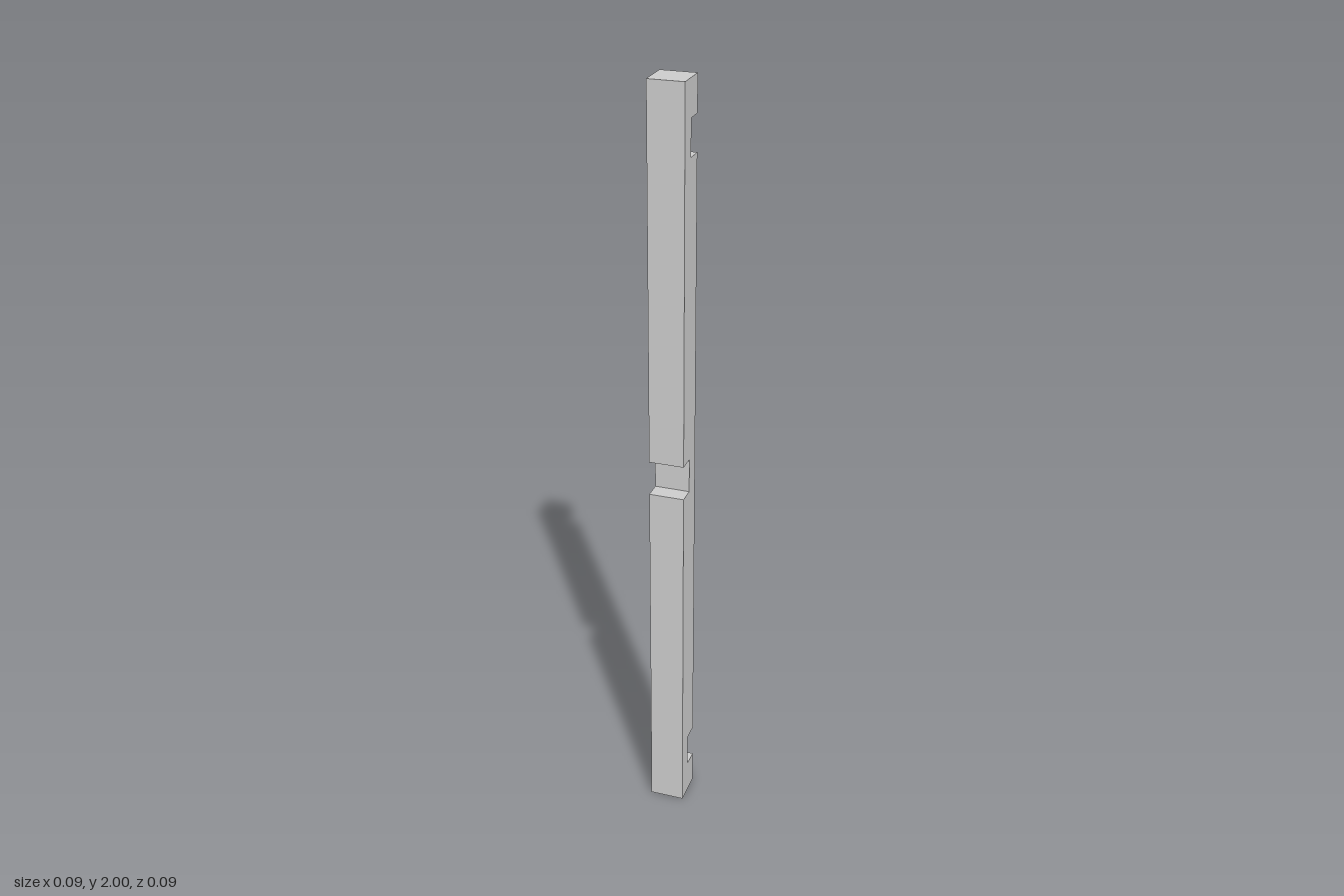
import * as THREE from 'three';

const UNIT = 1 / 11;      // post thickness and notch height
const HALF = UNIT / 2;    // notches cut half-way through

export function createModel() {
  const group = new THREE.Group();
  group.name = 'notchedPost';

  // Side profile (z, y): one notch in the front, two in the back
  const profile = [[-HALF, 0], [HALF, 0]];
  const addNotch = (side, from, to) =>
    profile.push([side, from], [0, from], [0, to], [side, to]);

  addNotch(HALF, 1 - HALF, 1 + HALF);
  profile.push([HALF, 2], [-HALF, 2]);
  addNotch(-HALF, 2 - UNIT, 2 - 2 * UNIT);
  addNotch(-HALF, 2 * UNIT, UNIT);

  const shape = new THREE.Shape(profile.map(([z, y]) => new THREE.Vector2(z, y)));
  const geometry = new THREE.ExtrudeGeometry(shape, { depth: UNIT, bevelEnabled: false });
  geometry.translate(0, 0, -HALF);
  geometry.rotateY(-Math.PI / 2); // profile x becomes z

  const post = new THREE.Mesh(
    geometry,
    new THREE.MeshStandardMaterial({ color: 0xcccccc, flatShading: true })
  );
  post.name = 'post';
  group.add(post);
  return group;
}
